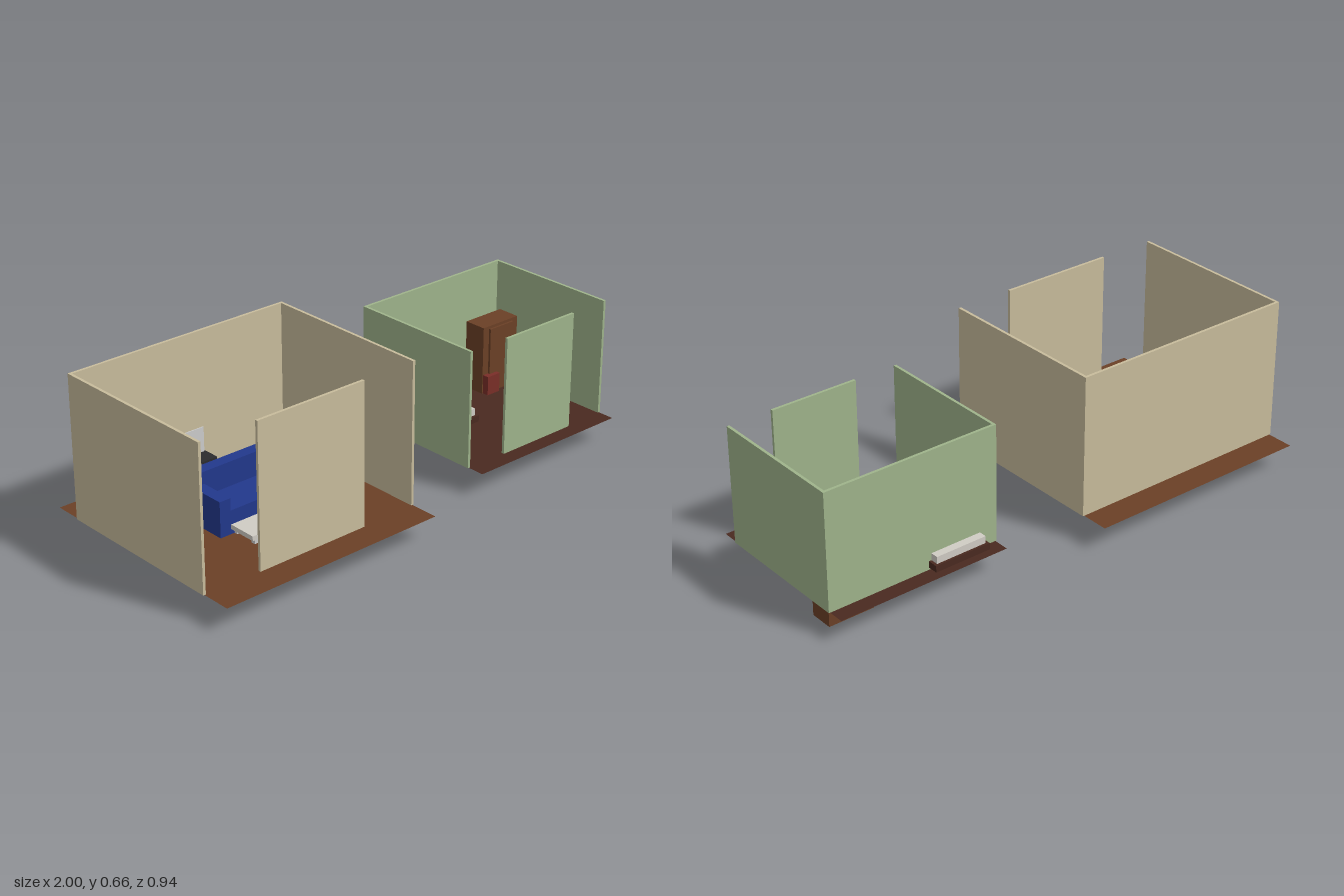
import * as THREE from 'three';

const COLORS = {
  cream: 0xc8bc9c, green: 0x9fb48b, oak: 0x6b4026, darkWood: 0x4a2a20, blue: 0x22388c,
  white: 0xd0ccc4, black: 0x2c2c2e, red: 0x7a2e28, bedWood: 0x5c3022, grey: 0xcccccc,
};
const FLOOR = 0.0975;

function material(color, side = THREE.FrontSide) {
  return new THREE.MeshStandardMaterial({ color: COLORS[color], side });
}

// Box given by its [min, max] range on each axis
function box(parent, name, color, [x0, x1], [y0, y1], [z0, z1]) {
  const mesh = new THREE.Mesh(new THREE.BoxGeometry(x1 - x0, y1 - y0, z1 - z0), material(color));
  mesh.position.set((x0 + x1) / 2, (y0 + y1) / 2, (z0 + z1) / 2);
  mesh.name = name;
  parent.add(mesh);
  return mesh;
}

// Open-topped room: thin floor, three walls and a narrower front panel
function room(name, wall, floor, [x0, x1], top, floorDepth, wallZ) {
  const group = new THREE.Group();
  group.name = name;
  const t = 0.0055;
  const width = x1 - x0;
  const cx = (x0 + x1) / 2;

  const ground = new THREE.Mesh(new THREE.PlaneGeometry(width, floorDepth), material(floor, THREE.DoubleSide));
  ground.rotation.x = -Math.PI / 2;
  ground.position.set(cx, FLOOR, 0);
  ground.name = 'floor';
  group.add(ground);

  const y = [FLOOR, top];
  box(group, 'backWall', wall, [x0 - t, x1 + t], y, [-wallZ - t, -wallZ + t]);
  for (const [side, x] of [['rightWall', x0], ['leftWall', x1]]) {
    box(group, side, wall, [x - t, x + t], y, [-wallZ + t, wallZ]);
  }
  box(group, 'frontPanel', wall, [cx - width / 4, cx + width / 4], y, [wallZ - t, wallZ + t]);
  return group;
}

function sofa() {
  const g = new THREE.Group();
  g.name = 'sofa';
  const y0 = FLOOR + 0.001;
  box(g, 'seat', 'blue', [-0.67, -0.39], [y0, 0.19], [-0.053, 0.09]);
  box(g, 'backrest', 'blue', [-0.717, -0.343], [y0, 0.285], [-0.1, -0.053]);
  for (const x of [-0.717, -0.39]) {
    box(g, 'armrest', 'blue', [x, x + 0.047], [y0, 0.238], [-0.053, 0.09]);
  }
  return g;
}

function coffeeTable() {
  const g = new THREE.Group();
  g.name = 'coffeeTable';
  box(g, 'tableTop', 'white', [-0.67, -0.39], [0.118, 0.136], [0.075, 0.206]);
  for (const x of [-0.646, -0.411]) {
    for (const z of [0.094, 0.189]) {
      box(g, 'tableLeg', 'grey', [x - 0.009, x + 0.009], [0.045, 0.118], [z - 0.009, z + 0.009]);
    }
  }
  return g;
}

function television() {
  const g = new THREE.Group();
  g.name = 'television';
  box(g, 'mediaStand', 'black', [-0.624, -0.437], [FLOOR + 0.001, 0.182], [-0.345, -0.275]);
  box(g, 'screen', 'grey', [-0.618, -0.443], [0.182, 0.28], [-0.345, -0.341]);
  return g;
}

function bed() {
  const g = new THREE.Group();
  g.name = 'bed';
  box(g, 'bedFrame', 'darkWood', [0.348, 0.582], [0.106, 0.132], [-0.327, 0.04]);
  box(g, 'mattress', 'white', [0.359, 0.571], [0.132, 0.16], [-0.318, 0.03]);
  box(g, 'headboard', 'bedWood', [0.348, 0.582], [0.106, 0.25], [-0.26, -0.24]);
  return g;
}

function wardrobe() {
  const g = new THREE.Group();
  g.name = 'wardrobe';
  box(g, 'cabinet', 'oak', [0.781, 0.966], [0, 0.376], [-0.234, -0.14]);
  box(g, 'cabinetDoor', 'oak', [0.811, 0.936], [0.011, 0.365], [-0.14, -0.131]);
  return g;
}

export function createModel() {
  const model = new THREE.Group();
  model.name = 'twoRooms';

  const livingRoom = room('livingRoom', 'cream', 'oak', [-0.9945, -0.0605], 0.655, 0.935, 0.351);
  livingRoom.add(sofa(), coffeeTable(), television());

  const bedroom = room('bedroom', 'green', 'darkWood', [0.2905, 0.9945], 0.562, 0.7, 0.281);
  bedroom.add(bed(), wardrobe());
  // Small red stool against the wardrobe
  box(bedroom, 'stool', 'red', [0.785, 0.849], [FLOOR + 0.001, 0.176], [-0.17, -0.113]);

  model.add(livingRoom, bedroom);
  return model;
}
